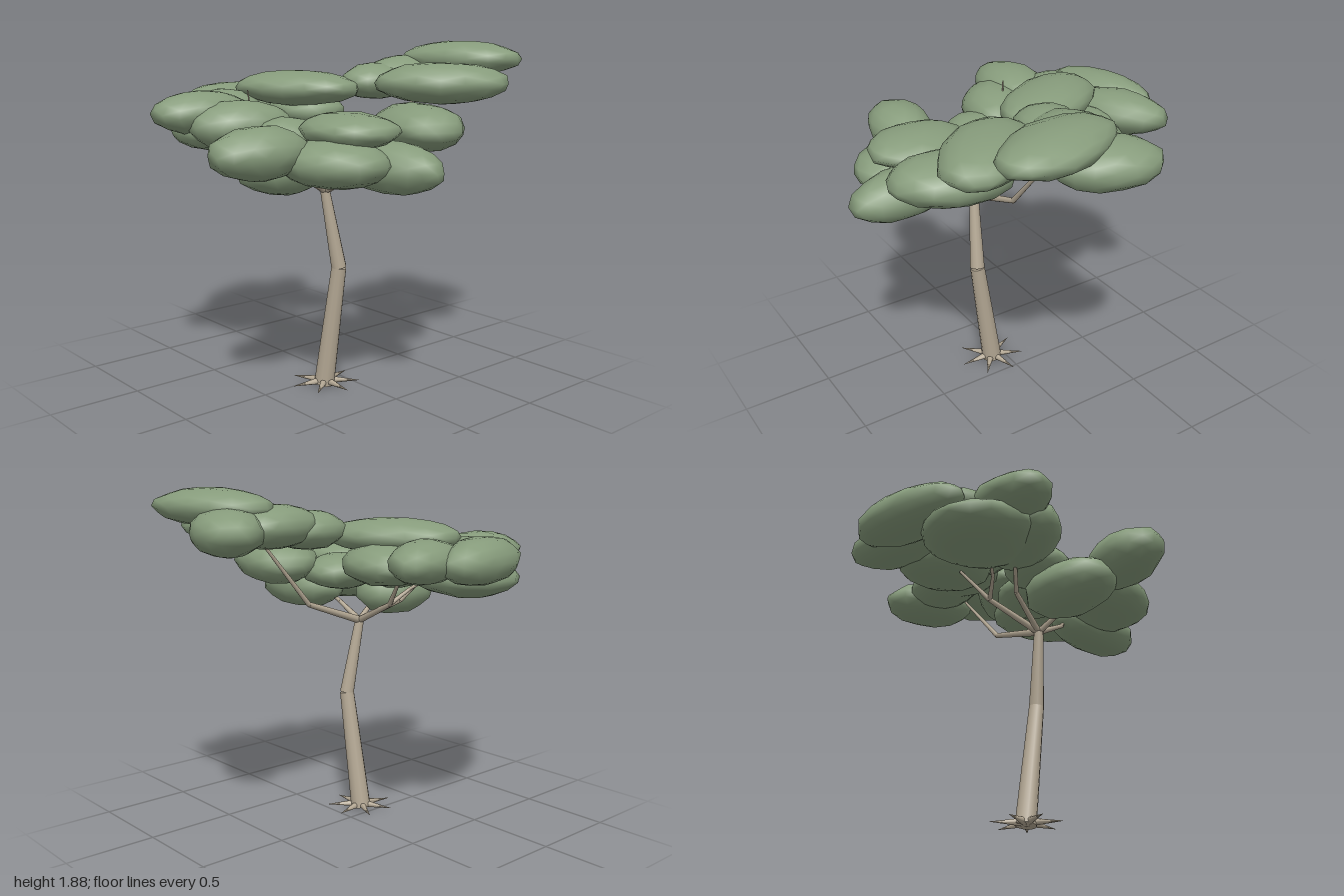
import * as THREE from 'three';
import { mergeVertices } from 'three/addons/utils/BufferGeometryUtils.js';

const leafMat = new THREE.MeshStandardMaterial({ color: 0x879c7c });
leafMat.name = 'leafGreen';
const barkMat = new THREE.MeshStandardMaterial({ color: 0xb5a995 });
barkMat.name = 'paleBark';

// Seeded random numbers, 0 to 1
function makeRandom(seed) {
  let s = seed;
  return () => (s = (s * 16807) % 2147483647) / 2147483647;
}

// Tapered limb between two points
function limb(name, a, b, r0, r1, sides = 10) {
  const from = new THREE.Vector3(...a), to = new THREE.Vector3(...b);
  const dir = to.clone().sub(from);
  const mesh = new THREE.Mesh(new THREE.CylinderGeometry(r1, r0, dir.length(), sides), barkMat);
  mesh.position.copy(from).add(to).multiplyScalar(0.5);
  mesh.quaternion.setFromUnitVectors(new THREE.Vector3(0, 1, 0), dir.normalize());
  mesh.name = name;
  return mesh;
}

// Chain of limbs that narrows from r0 to r1
function branch(name, points, r0, r1) {
  const group = new THREE.Group();
  group.name = name;
  const n = points.length - 1;
  for (let i = 0; i < n; i++) {
    const r = (k) => r0 + ((r1 - r0) * k) / n;
    group.add(limb(name + 'Segment', points[i], points[i + 1], r(i), r(i + 1), 8));
  }
  return group;
}

// Uneven, flattened clump of leaves
function leafClump(x, y, z, rx, ry, rz, yaw, random) {
  let geo = new THREE.IcosahedronGeometry(1, 2);
  geo.deleteAttribute('normal');
  geo.deleteAttribute('uv');
  geo = mergeVertices(geo, 1e-4);
  const p = geo.attributes.position;
  for (let i = 0; i < p.count; i++) {
    const k = 0.98 + 0.08 * random();
    p.setXYZ(i, p.getX(i) * k * rx, p.getY(i) * k * ry, p.getZ(i) * k * rz);
  }
  geo.computeVertexNormals();
  const mesh = new THREE.Mesh(geo, leafMat);
  mesh.position.set(x, y, z);
  mesh.rotation.y = yaw;
  mesh.name = 'leafClump';
  return mesh;
}

export function createModel() {
  const tree = new THREE.Group();
  tree.name = 'tree';
  const random = makeRandom(77);

  // Bent trunk
  const base = [0.08, 0.01, 0.15], knee = [0.18, 0.69, 0.13], fork = [0.15, 1.11, 0.2];
  tree.add(limb('lowerTrunk', base, knee, 0.057, 0.041, 12));
  tree.add(limb('upperTrunk', knee, fork, 0.041, 0.026, 12));

  // Star of pointed roots
  for (let i = 0; i < 7; i++) {
    const a = (i / 7) * Math.PI * 2;
    const tip = [0.085 + 0.19 * Math.cos(a), 0.022, 0.15 + 0.19 * Math.sin(a)];
    tree.add(limb('root', [0.085, 0.028, 0.15], tip, 0.024, 0.001, 8));
  }

  // Branches
  tree.add(branch('backBranch', [fork, [0.14, 1.24, -0.18], [0.13, 1.6, -0.5]], 0.022, 0.008));
  tree.add(branch('leftTwigBranch', [fork, [-0.15, 1.24, 0.15], [-0.3, 1.4, 0.08]], 0.02, 0.008));
  tree.add(branch('middleBranch', [fork, [-0.08, 1.24, 0.3], [-0.18, 1.4, 0.42], [-0.2, 1.63, 0.44]], 0.018, 0.003));
  tree.add(branch('sideTwig', [[-0.15, 1.24, 0.15], [-0.2, 1.32, 0.25], [-0.35, 1.45, 0.4]], 0.013, 0.006));
  tree.add(branch('frontBranch', [fork, [0.2, 1.2, 0.35], [0.3, 1.35, 0.6]], 0.018, 0.006));
  tree.add(branch('rightBranch', [fork, [0.32, 1.2, 0.2], [0.5, 1.4, 0.05]], 0.018, 0.006));

  // Leaf clumps: centre, radii, yaw
  const clumpGroups = {
    backFoliage: [
      [0.25, 1.785, -0.71, 0.36, 0.095, 0.2, 0.3],
      [0.42, 1.665, -0.38, 0.36, 0.11, 0.215, 0.75],
      [0.03, 1.67, -0.78, 0.27, 0.12, 0.18, -0.4],
      [0.0, 1.69, -0.52, 0.18, 0.11, 0.27, 0.15],
      [0.0, 1.66, -0.3, 0.165, 0.1, 0.22, 0],
    ],
    leftFoliage: [
      [-0.25, 1.625, 0.07, 0.36, 0.095, 0.21, 0.5],
      [-0.62, 1.53, -0.06, 0.16, 0.11, 0.29, 0.4],
      [-0.72, 1.52, 0.23, 0.16, 0.12, 0.35, 0.3],
      [-0.37, 1.515, 0.62, 0.18, 0.115, 0.28, 0],
      [-0.18, 1.45, 0.5, 0.18, 0.13, 0.28, -0.3],
      [-0.43, 1.4, 0.45, 0.3, 0.11, 0.28, -0.4],
      [-0.32, 1.49, -0.05, 0.26, 0.11, 0.21, -0.2],
      [-0.52, 1.52, 0.38, 0.2, 0.1, 0.2, 0],
    ],
    rightFoliage: [
      [0.02, 1.4, 0.36, 0.175, 0.1, 0.185, 0],
      [0.2, 1.4, 0.1, 0.2, 0.1, 0.22, 0],
      [0.48, 1.45, -0.14, 0.32, 0.125, 0.22, -0.35],
      [0.44, 1.46, 0.29, 0.275, 0.09, 0.215, 0.1],
      [0.6, 1.28, 0.15, 0.3, 0.13, 0.16, 0.1],
      [0.48, 1.31, 0.42, 0.28, 0.12, 0.22, 0.5],
      [0.31, 1.37, 0.74, 0.17, 0.13, 0.26, -0.1],
      [0.15, 1.26, 0.48, 0.19, 0.135, 0.27, 0.2],
    ],
  };
  for (const [name, clumps] of Object.entries(clumpGroups)) {
    const group = new THREE.Group();
    group.name = name;
    clumps.forEach((c) => group.add(leafClump(...c, random)));
    tree.add(group);
  }
  return tree;
}
